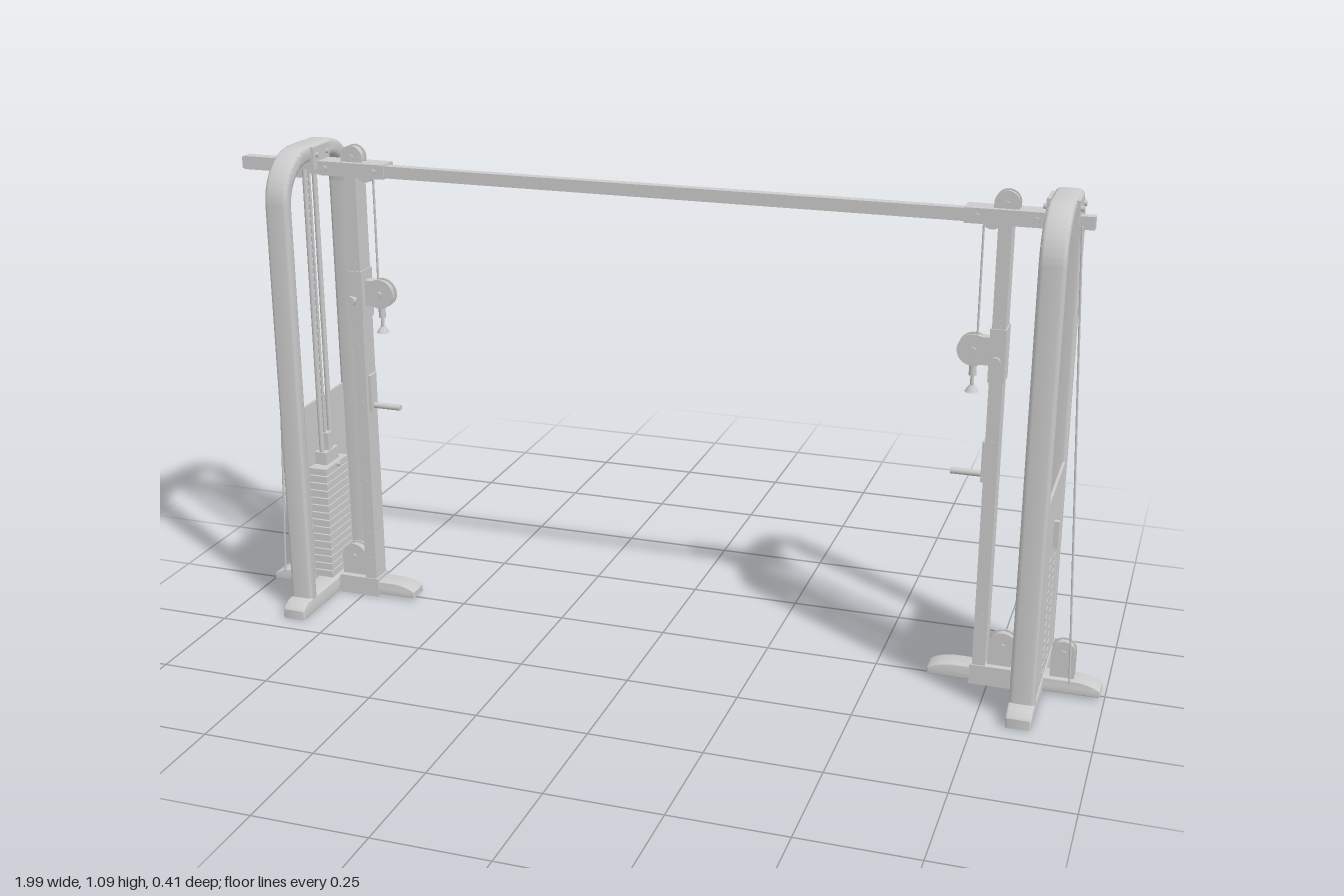
import * as THREE from 'three';
import { toCreasedNormals } from 'three/addons/utils/BufferGeometryUtils.js';

const mat = new THREE.MeshStandardMaterial({ color: 0xcccccc });
const V = (x, y, z) => new THREE.Vector3(x, y, z);
const box = (w, h, d) => new THREE.BoxGeometry(w, h, d);

function mesh(parent, name, geo, x = 0, y = 0, z = 0) {
  const m = new THREE.Mesh(geo, mat);
  m.name = name;
  m.position.set(x, y, z);
  parent.add(m);
  return m;
}

// Round bar between two points
function rod(parent, name, a, b, r, sides = 10) {
  const dir = b.clone().sub(a);
  const m = mesh(parent, name, new THREE.CylinderGeometry(r, r, dir.length(), sides));
  m.position.copy(a).add(b).multiplyScalar(0.5);
  m.quaternion.setFromUnitVectors(V(0, 1, 0), dir.normalize());
  return m;
}

// Extrusion centred on its depth axis, with softened edges
function slab(shape, depth, bevel = 0) {
  const g = new THREE.ExtrudeGeometry(shape, {
    depth: depth - 2 * bevel, curveSegments: 14, bevelEnabled: bevel > 0,
    bevelThickness: bevel, bevelSize: bevel, bevelOffset: -bevel, bevelSegments: 3,
  });
  g.translate(0, 0, -depth / 2 + bevel);
  return toCreasedNormals(g, 0.6);
}

// Inverted-U outline of the side frame
function archShape() {
  const s = new THREE.Shape();
  const o = 0.163, i = 0.134, top = 1.095, inTop = 1.058, R = 0.115, r = 0.086, y0 = 0.03;
  s.moveTo(o, y0);
  s.lineTo(o, top - R);
  s.absarc(o - R, top - R, R, 0, Math.PI / 2);
  s.absarc(R - o, top - R, R, Math.PI / 2, Math.PI);
  s.lineTo(-o, y0);
  s.lineTo(-i, y0);
  s.lineTo(-i, inTop - r);
  s.absarc(r - i, inTop - r, r, Math.PI, Math.PI / 2, true);
  s.absarc(i - r, inTop - r, r, Math.PI / 2, 0, true);
  s.lineTo(i, y0);
  s.closePath();
  return s;
}

// Foot with sloped toes
function footShape(half, slope, y0) {
  const s = new THREE.Shape();
  s.moveTo(-half, y0);
  s.lineTo(half, y0);
  s.lineTo(half, 0.027);
  s.quadraticCurveTo(half - slope * 0.3, 0.04, half - slope, 0.043);
  s.lineTo(slope - half, 0.043);
  s.quadraticCurveTo(slope * 0.3 - half, 0.04, -half, 0.027);
  s.closePath();
  return s;
}

// Grooved pulley wheel, axle along z
function pulleyGeo(r, w) {
  const p = [[0.2, -0.5], [1, -0.5], [0.8, -0.12], [0.8, 0.12], [1, 0.5], [0.2, 0.5], [0.2, -0.5]];
  const g = new THREE.LatheGeometry(p.map(([a, b]) => new THREE.Vector2(a * r, b * w)), 24);
  g.rotateX(Math.PI / 2);
  return toCreasedNormals(g, 0.5);
}

// Pulley between two round-topped cheek plates
function bracketPulley(parent, name, x, y0, y1, w) {
  const g = new THREE.Group();
  g.name = name;
  parent.add(g);
  const r = w / 2, s = new THREE.Shape();
  s.moveTo(-r, y0);
  s.lineTo(r, y0);
  s.lineTo(r, y1 - r);
  s.absarc(0, y1 - r, r, 0, Math.PI);
  s.closePath();
  for (const z of [-0.011, 0.011]) mesh(g, 'cheekPlate', slab(s, 0.004), x, 0, z);
  mesh(g, 'wheel', pulleyGeo(r * 0.9, 0.014), x, y1 - r, 0);
  rod(g, 'axle', V(x, y1 - r, -0.017), V(x, y1 - r, 0.017), 0.006);
}

function station(s) {
  const g = new THREE.Group();
  g.name = s > 0 ? 'leftStation' : 'rightStation';
  const X = 0.842 * s, U = 0.729 * s;

  // Arched frame, feet and shield
  mesh(g, 'archFrame', slab(archShape(), 0.054, 0.009).rotateY(Math.PI / 2), X);
  mesh(g, 'crossFoot', slab(footShape(0.203, 0.03, 0.005), 0.054, 0.004).rotateY(Math.PI / 2), X);
  mesh(g, 'longFoot', slab(footShape(0.186, 0.055, 0.012), 0.05, 0.002), 0.804 * s);
  mesh(g, 'basePlate', box(0.1, 0.045, 0.056), 0.76 * s, 0.0275);
  mesh(g, 'shieldPanel', box(0.006, 0.44, 0.3), 0.864 * s, 0.26);
  mesh(g, 'topClamp', box(0.066, 0.05, 0.076), X, 1.066);
  for (const z of [-0.024, 0.024])
    rod(g, 'clampBolt', V(0.802 * s, 1.073, z), V(0.882 * s, 1.073, z), 0.006, 6);

  // Weight stack with guide rods
  for (let i = 0; i < 15; i++) {
    const y = 0.06 + i * 0.0186;
    mesh(g, 'weightPlate', box(0.046, 0.016, 0.11), 0.839 * s, y);
    for (const z of [-0.038, 0.038]) mesh(g, 'plateLug', box(0.01, 0.006, 0.026), 0.8635 * s, y, z);
  }
  mesh(g, 'stackHead', box(0.03, 0.03, 0.06), X, 0.345);
  mesh(g, 'stackYoke', box(0.022, 0.045, 0.02), X, 0.38);
  mesh(g, 'stackTag', box(0.012, 0.06, 0.012), 0.872 * s, 0.37, 0.007);
  rod(g, 'selectorPin', V(0.807 * s, 0.325, 0), V(0.84 * s, 0.325, 0), 0.005);
  for (const z of [-0.022, 0.022]) rod(g, 'guideRod', V(X, 0.04, z), V(X, 1.06, z), 0.006);
  rod(g, 'stackCable', V(X, 0.4, 0.003), V(X, 1.03, 0.003), 0.003, 6);

  // Inner upright with adjustment holes shown as recessed buttons
  mesh(g, 'upright', box(0.028, 1.0, 0.05), U, 0.54);
  for (let i = 0; i < 14; i++)
    rod(g, 'adjustmentHole', V(U, 0.1 + i * 0.066, -0.0258), V(U, 0.1 + i * 0.066, 0.0258), 0.006, 12);

  // Sleeve joining upright, frame and beam
  mesh(g, 'beamSleeve', box(0.16, 0.032, 0.05), 0.725 * s, 1.043);
  mesh(g, 'beamBridge', box(0.08, 0.028, 0.044), 0.835 * s, 1.043);
  for (const x of [0.67, 0.79]) rod(g, 'sleeveBolt', V(x * s, 1.043, -0.03), V(x * s, 1.043, 0.03), 0.007, 6);

  // Fixed pulleys
  bracketPulley(g, 'topPulley', U, 1.04, 1.096, 0.052);
  bracketPulley(g, 'innerBasePulley', 0.777 * s, 0.04, 0.127, 0.062);
  bracketPulley(g, 'outerBasePulley', 0.907 * s, 0.04, 0.127, 0.052);
  for (const x of [0.7, 0.865]) mesh(g, 'guidePulley', pulleyGeo(0.022, 0.014), x * s, 1.035);

  // Sliding carriage with pulley and pop pin
  mesh(g, 'carriageSleeve', box(0.034, 0.115, 0.055), U, 0.753);
  rod(g, 'popPinStem', V(U, 0.747, 0.02), V(U, 0.747, 0.05), 0.004);
  rod(g, 'popPinKnob', V(U, 0.747, 0.046), V(U, 0.747, 0.054), 0.011, 14);
  const P = 0.677 * s;
  for (const z of [-0.01, 0.01])
    rod(g, 'carriageCheek', V(P, 0.757, z - 0.002), V(P, 0.757, z + 0.002), 0.034, 28);
  mesh(g, 'carriageArm', box(0.045, 0.06, 0.024), 0.701 * s, 0.757);
  mesh(g, 'carriageWheel', pulleyGeo(0.03, 0.014), P, 0.757);
  rod(g, 'carriageAxle', V(P, 0.757, -0.017), V(P, 0.757, 0.017), 0.007);
  rod(g, 'cableStop', V(P, 0.7, 0), V(P, 0.725, 0), 0.008);
  rod(g, 'clipStem', V(P, 0.668, 0), V(P, 0.705, 0), 0.004);
  mesh(g, 'clipEnd', new THREE.CylinderGeometry(0.006, 0.015, 0.014, 14), P, 0.671);

  // Cables
  rod(g, 'carriageCable', V(0.683 * s, 1.035, 0), V(0.683 * s, 0.78, 0), 0.0025, 6);
  rod(g, 'outerCable', V(0.885 * s, 1.05, 0.078), V(0.93 * s, 0.06, 0.078), 0.0025, 6);

  // Hand grip on the upright
  mesh(g, 'gripPlate', box(0.008, 0.09, 0.03), 0.712 * s, 0.515);
  rod(g, 'handGrip', V(0.715 * s, 0.484, 0), V(0.642 * s, 0.484, 0), 0.007, 12);
  return g;
}

export function createModel() {
  const model = new THREE.Group();
  model.name = 'cableCrossoverMachine';
  model.add(station(1), station(-1));
  // Overhead beam
  mesh(model, 'overheadBeam', box(1.905, 0.027, 0.022), -0.0475, 1.043, 0.01);
  mesh(model, 'beamEndCap', box(0.1, 0.03, 0.026), -0.945, 1.043, 0.01);
  return model;
}
